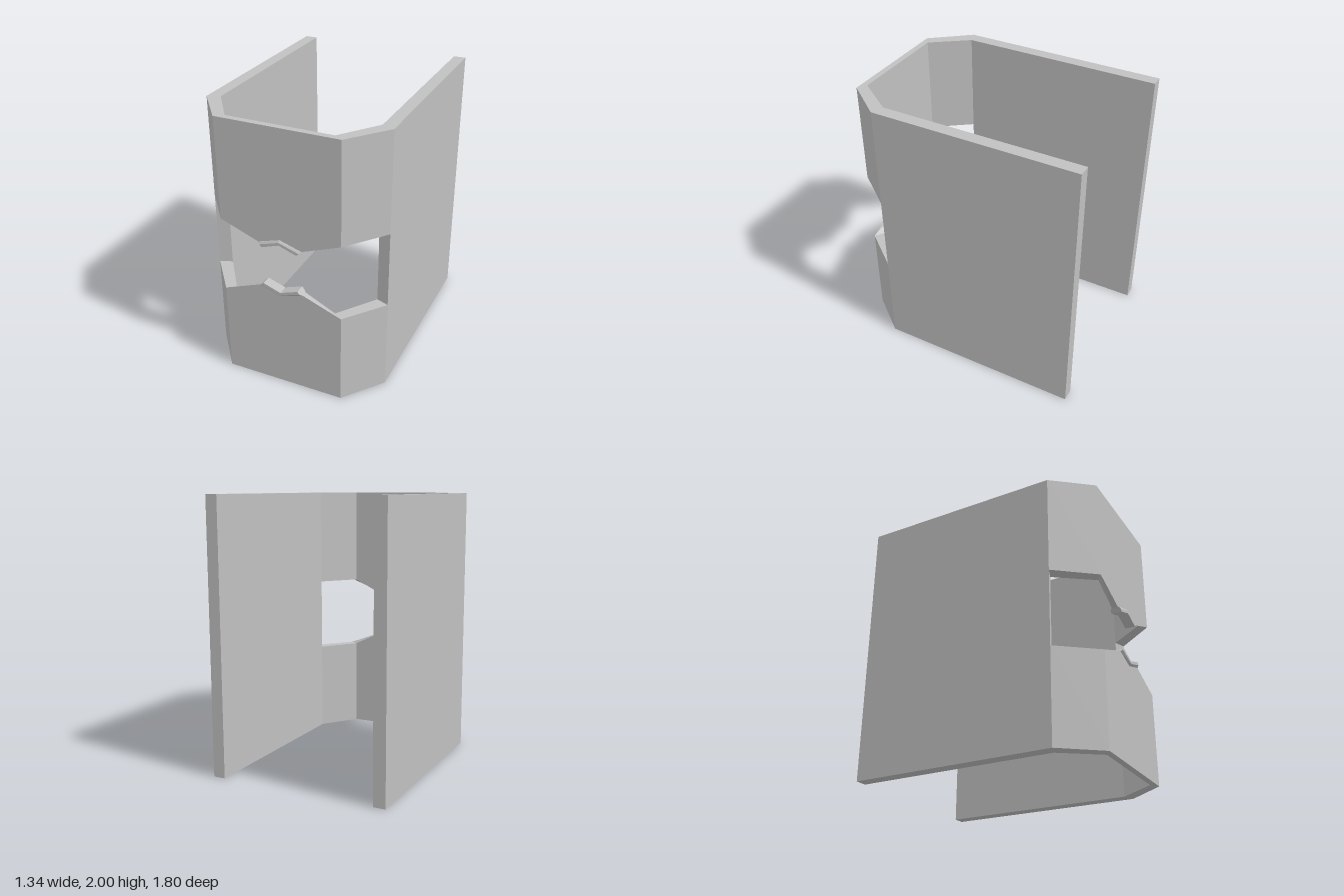
import * as THREE from 'three';
import { ConvexGeometry } from 'three/addons/geometries/ConvexGeometry.js';

const FRONT = 0.887, INNER = 0.842; // outer and inner z of the front panel
const SLOT_LOW = 0.691, SLOT_HIGH = 1.256, MIRROR = SLOT_LOW + SLOT_HIGH;

export function createModel() {
  const model = new THREE.Group();
  model.name = 'housing';
  const grey = new THREE.MeshStandardMaterial({ color: 0xc0c0c0 });
  grey.name = 'grey';

  const add = (name, geometry) => {
    const mesh = new THREE.Mesh(geometry, grey);
    mesh.name = name;
    model.add(mesh);
  };

  // Upright slab from a plan outline of [x, z] points
  const slab = (name, plan, side, y0, y1) => {
    const shape = new THREE.Shape(plan.map(([x, z]) => new THREE.Vector2(x * side, -z)));
    const g = new THREE.ExtrudeGeometry(shape, { depth: y1 - y0, bevelEnabled: false });
    add(name, g.rotateX(-Math.PI / 2).translate(0, y0, 0));
  };

  const wall = [[0.672, -0.897], [0.672, 0.605], [0.582, 0.571], [0.582, -0.897]];
  const corner = [[0.672, 0.605], [0.447, FRONT], [0.385, INNER], [0.582, 0.571]];
  for (const [label, side] of [['left', 1], ['right', -1]]) {
    slab(label + 'Wall', wall, side, 0, 2);
    slab(label + 'LowerCorner', corner, side, 0, SLOT_LOW);
    slab(label + 'UpperCorner', corner, side, SLOT_HIGH, 2);
  }

  // Front panels with a raised, notched edge facing the slot
  for (const upper of [false, true]) {
    const flip = (y) => (upper ? MIRROR - y : y);
    const label = upper ? 'upper' : 'lower';
    const base = upper ? 2 : 0;
    const outline = [
      [-0.447, base], [0.447, base], [0.447, flip(SLOT_LOW)], [0.15, flip(0.805)],
      [0, flip(0.765)], [-0.15, flip(0.805)], [-0.447, flip(SLOT_LOW)],
    ];
    const shape = new THREE.Shape(outline.map(([x, y]) => new THREE.Vector2(x, y)));
    const g = new THREE.ExtrudeGeometry(shape, { depth: FRONT - INNER, bevelEnabled: false });
    g.translate(0, 0, INNER);
    // Mitre the inner face to meet the corner slabs
    const p = g.attributes.position;
    for (let i = 0; i < p.count; i++) {
      if (p.getZ(i) < INNER + 0.01 && Math.abs(p.getX(i)) > 0.4) {
        p.setX(i, Math.sign(p.getX(i)) * 0.385);
      }
    }
    g.computeVertexNormals();
    add(label + 'FrontPanel', g);

    // Chevron edge trim: each half joins a lip edge to a bevelled tail edge
    const section = [[0.828, 0], [0.902, 0], [0.828, 0.6], [0.902, 0.6], [0.84, 1], [0.89, 1]];
    for (const side of [1, -1]) {
      const points = [];
      for (const [z, t] of section) {
        points.push(new THREE.Vector3(0, flip(0.784 - 0.034 * t), z));
        points.push(new THREE.Vector3(side * (0.13 + 0.03 * t), flip(0.83 - 0.03 * t), z));
      }
      add(label + (side > 0 ? 'Left' : 'Right') + 'EdgeTrim', new ConvexGeometry(points));
    }
  }
  return model;
}
